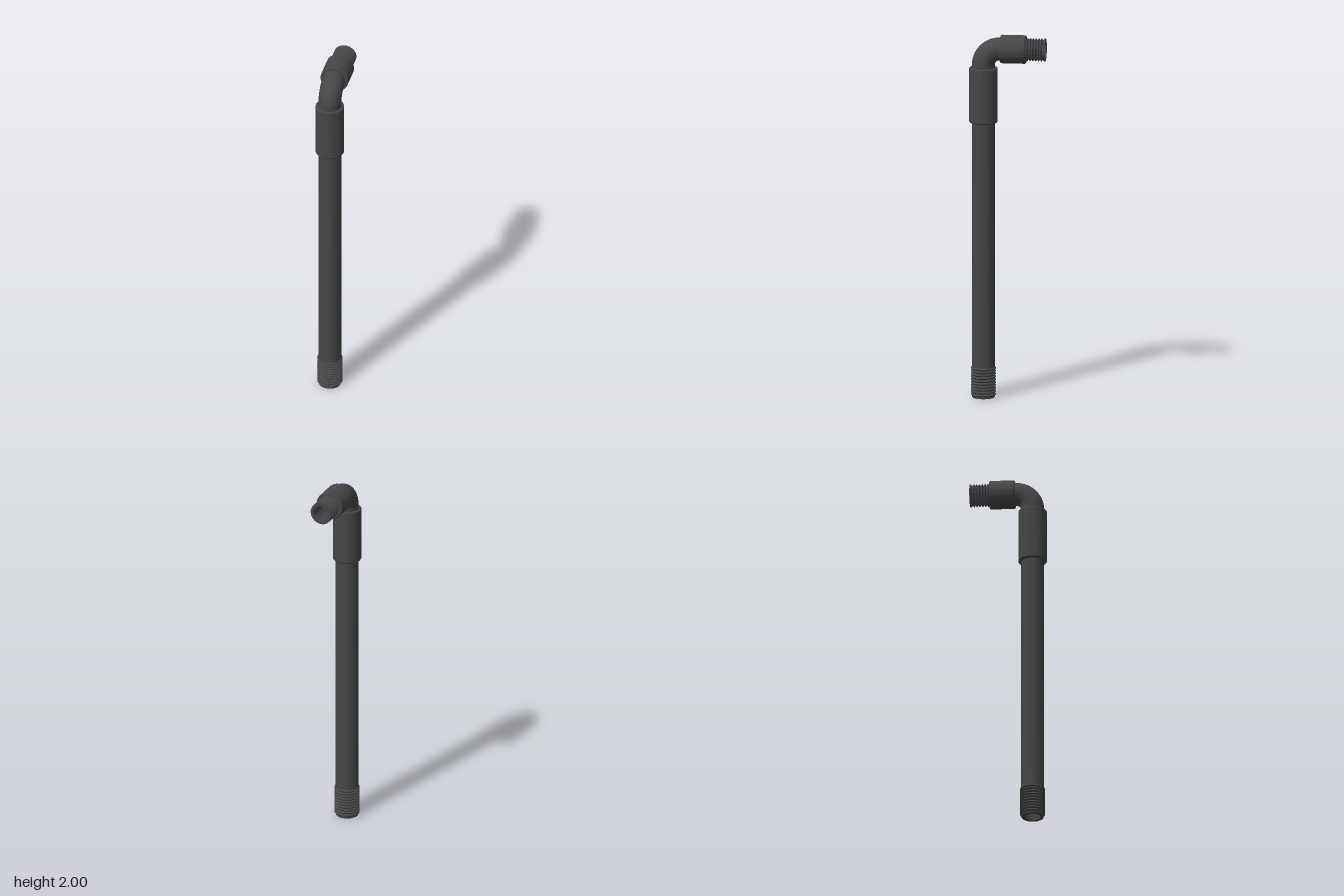
import * as THREE from 'three';
import { toCreasedNormals } from 'three/addons/utils/BufferGeometryUtils.js';

const PIPE_Z = 0.13;   // z of the upright axis
const ARM_Y = 1.923;   // height of the horizontal axis
const BEND = 0.09;     // elbow centreline radius
const R = 0.062;       // pipe radius
const BORE = 0.044;

export function createModel() {
  const group = new THREE.Group();
  const plastic = new THREE.MeshStandardMaterial({ color: 0x464646 });
  plastic.name = 'dark grey plastic';

  const add = (name, geometry, parent) => {
    const mesh = new THREE.Mesh(geometry, plastic);
    mesh.name = name;
    parent.add(mesh);
    return mesh;
  };
  const lathe = (points) => toCreasedNormals(
    new THREE.LatheGeometry(points.map(([r, y]) => new THREE.Vector2(r, y)), 48), 0.5);

  // Hollow end: floor of the bore, bore wall, flat rim
  const bore = (rim, depth) => [[0, depth], [BORE, depth], [BORE, 0], [rim, 0]];

  // V-shaped ridges stacked along the axis
  const ridges = (start, pitch, count, low, high) => {
    const points = [];
    for (let i = 0; i < count; i++) {
      const y = start + i * pitch;
      points.push([low, y], [high, y + pitch * 0.4], [high, y + pitch * 0.6]);
    }
    points.push([low, start + count * pitch]);
    return points;
  };

  // Coupling sleeve with small chamfers
  const sleeve = (length) => lathe([
    [R - 0.005, 0], [0.073, 0], [0.077, 0.005],
    [0.077, length - 0.005], [0.073, length], [R - 0.005, length],
  ]);

  // Upright section, standing on its threaded end
  const upright = new THREE.Group();
  upright.name = 'upright';
  upright.position.z = PIPE_Z;
  group.add(upright);
  add('lowerThread', lathe([
    ...bore(0.06, 0.17), [R, 0.006], ...ridges(0.01, 0.016, 10, 0.061, 0.068),
  ]), upright);
  add('pipe', lathe([[R - 0.01, 0.168], [R, 0.168], [R, 1.53]]), upright);
  add('uprightSleeve', sleeve(0.302), upright).position.y = 1.517;

  // Quarter-turn elbow with short straight ends inside the sleeves
  const path = new THREE.CurvePath();
  const v = (y, z) => new THREE.Vector3(0, y, z);
  const bendY = ARM_Y - BEND, bendZ = PIPE_Z - BEND;
  const k = 0.5523 * BEND;
  path.add(new THREE.LineCurve3(v(1.80, PIPE_Z), v(bendY, PIPE_Z)));
  path.add(new THREE.CubicBezierCurve3(
    v(bendY, PIPE_Z), v(bendY + k, PIPE_Z), v(ARM_Y, bendZ + k), v(ARM_Y, bendZ)));
  path.add(new THREE.LineCurve3(v(ARM_Y, bendZ), v(ARM_Y, 0.01)));
  add('elbow', new THREE.TubeGeometry(path, 40, R, 48), group);

  // Horizontal arm, built from its open end at the back towards the elbow
  const arm = new THREE.Group();
  arm.name = 'arm';
  arm.position.set(0, ARM_Y, -0.208);
  arm.rotation.x = Math.PI / 2;
  group.add(arm);
  add('armThread', lathe([
    ...bore(R, 0.11), [R, 0.007], ...ridges(0.014, 0.0153, 6, 0.052, R),
    [0.058, 0.108], [0.058, 0.12],
  ]), arm);
  add('armSleeve', sleeve(0.138), arm).position.y = 0.106;

  return group;
}
